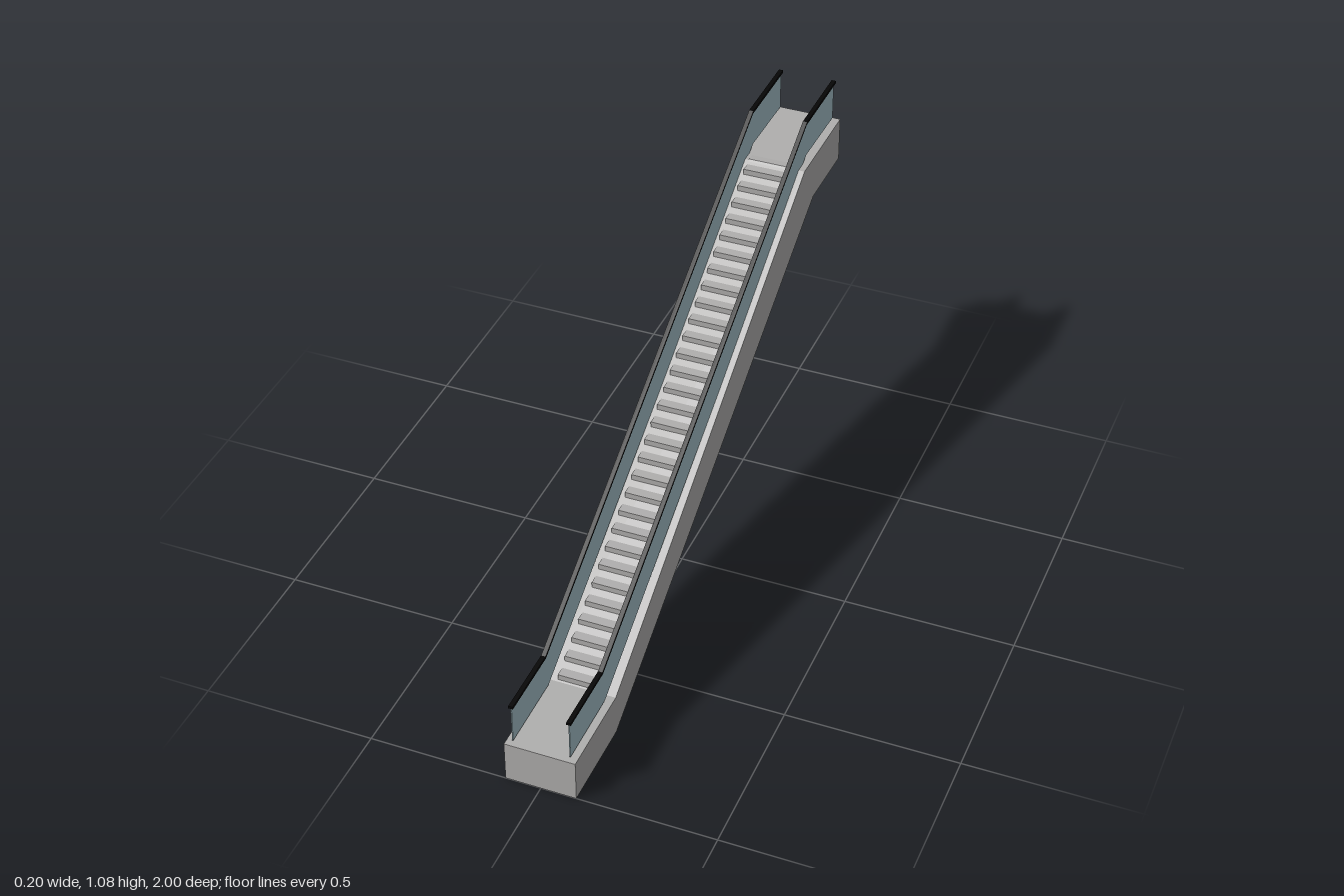
import * as THREE from 'three';

const gray = new THREE.MeshStandardMaterial({ color: 0xb0afae });
gray.name = 'metal gray';
const blue = new THREE.MeshStandardMaterial({ color: 0xa6c1c9 });
blue.name = 'glass blue';
const black = new THREE.MeshStandardMaterial({ color: 0x060606 });
black.name = 'rubber black';

// Side profile given as [z, y] points, extruded across x and centred on the given x
function slab(name, points, width, material, x = 0) {
  const shape = new THREE.Shape(points.map(([z, y]) => new THREE.Vector2(z, y)));
  const geometry = new THREE.ExtrudeGeometry(shape, { depth: width, bevelEnabled: false });
  geometry.translate(0, 0, -width / 2);
  geometry.rotateY(-Math.PI / 2);
  const mesh = new THREE.Mesh(geometry, material);
  mesh.name = name;
  mesh.position.x = x;
  return mesh;
}

export function createModel() {
  const model = new THREE.Group();
  model.name = 'escalator';

  // Truss body with a flat landing at each end
  const low = [0.73, 0.125], high = [-0.69, 0.945];
  model.add(slab('body', [
    [1, 0], [1, 0.125], low, high, [-1, 0.945], [-1, 0.81], [-0.775, 0.81], [0.73, 0],
  ], 0.204, gray));

  // Steps: wedges standing on the incline
  const steps = new THREE.Group();
  steps.name = 'steps';
  const count = 30, riser = 0.017;
  const slope = (high[1] - low[1]) / (low[0] - high[0]);
  const pitch = (high[1] - low[1]) / count;
  for (let i = 0; i < count; i++) {
    const y = low[1] + 0.003 + i * pitch;
    const z = low[0] - (y - low[1]) / slope;
    steps.add(slab('step', [
      [z, y - 0.001], [z, y + riser], [z - riser / slope, y + riser],
    ], 0.138, gray));
  }
  // Comb plate where the steps meet the upper landing
  steps.add(slab('combPlate', [[-0.685, 0.942], [-0.69, 0.948], [-0.718, 0.945], [-0.718, 0.942]], 0.138, gray));
  model.add(steps);

  // Glass balustrades with handrails
  for (const [side, x] of [['left', 0.082], ['right', -0.082]]) {
    model.add(slab(side + 'Glass', [
      [0.987, 0.133], [0.987, 0.25], [0.782, 0.25], [-0.738, 1.073], [-0.983, 1.073],
      [-0.983, 0.955], [-0.755, 0.96], [0.76, 0.135],
    ], 0.003, blue, x));
    model.add(slab(side + 'Handrail', [
      [0.99, 0.249], [0.99, 0.257], [0.782, 0.257], [-0.738, 1.08], [-0.986, 1.08],
      [-0.986, 1.072], [-0.736, 1.072], [0.78, 0.249],
    ], 0.013, black, x));
  }
  return model;
}
